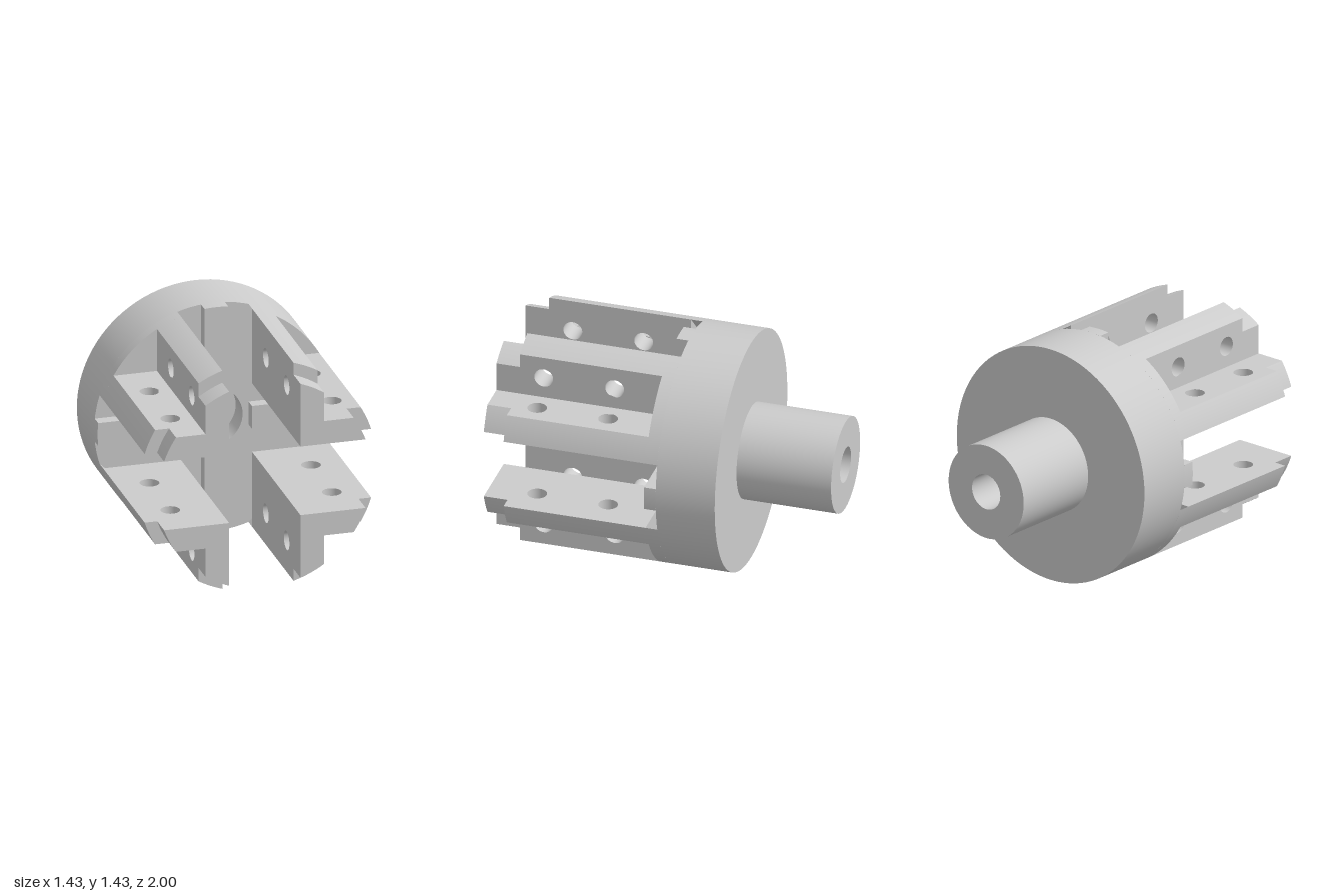
import * as THREE from 'three';
import { toCreasedNormals } from 'three/addons/utils/BufferGeometryUtils.js';

// Dimensions in a 14-unit module, scaled down at the end
const R = 10, TIP_R = 9, INNER = 3, OUTER = 5;
const material = new THREE.MeshStandardMaterial({ color: 0xcccccc });

function addMesh(parent, name, geometry, turn = 0) {
  const mesh = new THREE.Mesh(geometry, material);
  mesh.name = name;
  mesh.rotation.z = turn * Math.PI / 2;
  parent.add(mesh);
}

const creased = (geometry) => toCreasedNormals(geometry, 0.5);

// Flat pad one unit thick whose outer edge follows the rim
function padGeometry(points, a0, a1) {
  const shape = new THREE.Shape();
  points.forEach(([x, y], i) => (i ? shape.lineTo(x, y) : shape.moveTo(x, y)));
  shape.absarc(0, 0, R, a0, a1, false);
  const geometry = new THREE.ExtrudeGeometry(shape, { depth: 1, bevelEnabled: false, curveSegments: 24 });
  geometry.translate(0, 0, -1);
  return creased(geometry);
}

// One drilled leg of an L-shaped jaw, mitred inside and rounded outside
function jawLegGeometry(y0) {
  const shape = new THREE.Shape([
    [INNER, 0], [R, 0], [R, 12], [TIP_R, 12], [TIP_R, 14], [INNER, 14],
  ].map(([x, y]) => new THREE.Vector2(x, y)));
  for (const z of [4, 10]) {
    shape.holes.push(new THREE.Path().absarc(6.8, z, 0.8, 0, Math.PI * 2, true));
  }
  const depth = OUTER - INNER;
  const geometry = new THREE.ExtrudeGeometry(shape, { depth, steps: 8, bevelEnabled: false, curveSegments: 32 });
  geometry.rotateX(Math.PI / 2);
  geometry.translate(0, y0 + depth, 0);
  const p = geometry.attributes.position;
  for (let i = 0; i < p.count; i++) {
    const x = p.getX(i), y = p.getY(i);
    if (Math.abs(x - INNER) < 1e-3) p.setX(i, Math.abs(y));
    else if (x > TIP_R - 1e-3) p.setX(i, Math.sqrt(x * x - y * y));
  }
  return creased(geometry);
}

export function createModel() {
  const model = new THREE.Group();
  model.name = 'jawChuck';
  const parts = new THREE.Group();
  parts.name = 'chuckParts';
  parts.scale.setScalar(1 / 14);
  parts.position.y = R / 14;
  model.add(parts);

  // Disc and shank with a through bore and a counterbore
  const profile = [
    [1.5, -14], [4, -14], [4, -6], [R, -6], [R, -1], [2.5, -1], [2.5, -3], [1.5, -3], [1.5, -14],
  ].map(([r, y]) => new THREE.Vector2(r, y));
  const body = new THREE.LatheGeometry(profile, 96).rotateX(Math.PI / 2);
  addMesh(parts, 'discAndShank', creased(body));

  // Raised quadrants and the ribs in the channels between them
  const edge = Math.asin(INNER / R), ribEdge = Math.asin(1 / R);
  const quadrant = padGeometry([[INNER, INNER]], edge, Math.PI / 2 - edge);
  const rib = padGeometry([[INNER, 1], [INNER, -1]], -ribEdge, ribEdge);

  // Two mirrored legs meet at each quadrant to make an L-shaped jaw
  const upperLeg = jawLegGeometry(INNER);
  const lowerLeg = jawLegGeometry(-OUTER);
  for (let i = 0; i < 4; i++) {
    addMesh(parts, 'quadrantPad', quadrant, i);
    addMesh(parts, 'channelRib', rib, i);
    addMesh(parts, 'jawLegA', upperLeg, i);
    addMesh(parts, 'jawLegB', lowerLeg, i);
  }
  return model;
}
